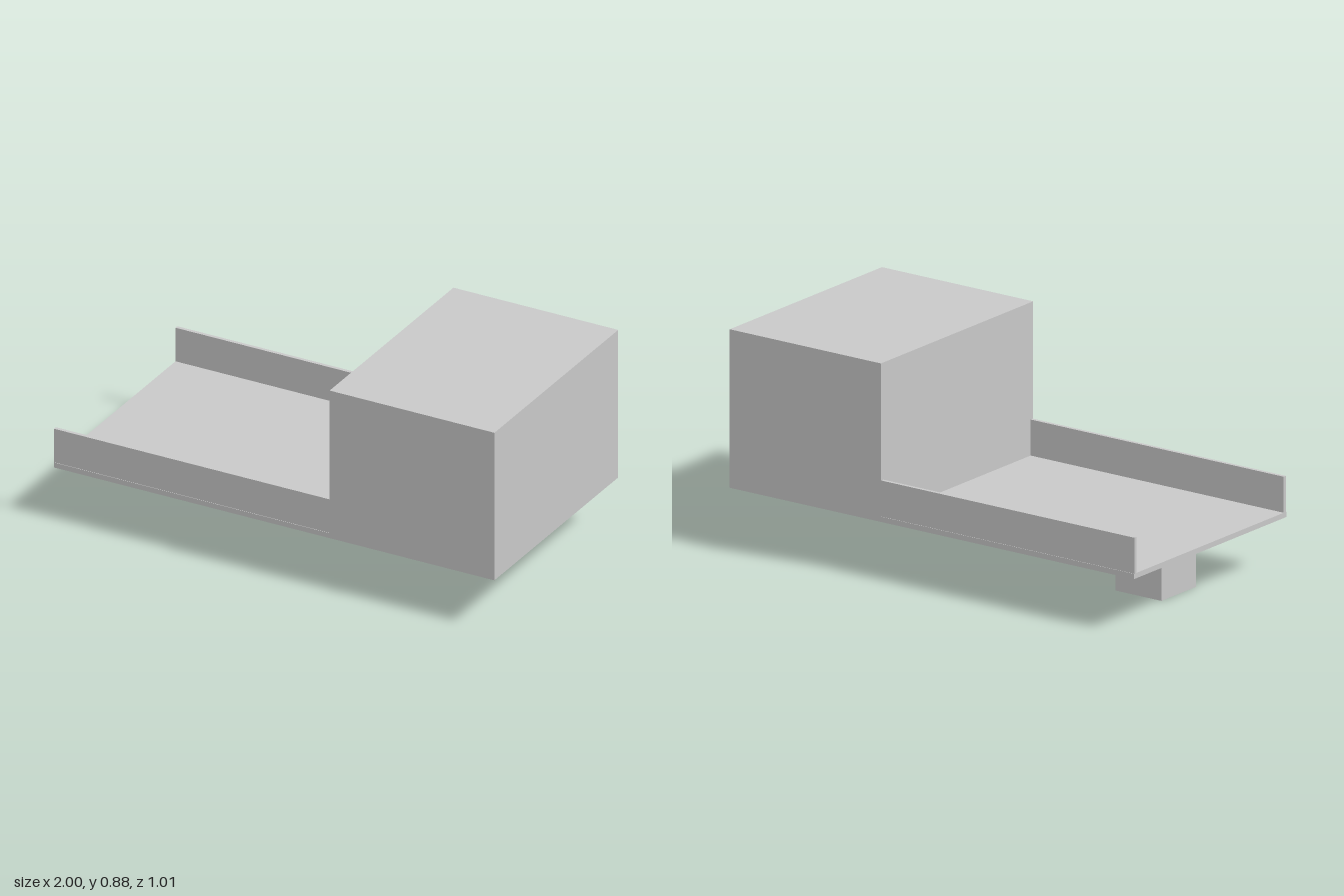
import * as THREE from 'three';

export function createModel() {
  const model = new THREE.Group();
  const grey = new THREE.MeshStandardMaterial({ color: 0xc8c8c8 });
  grey.name = 'light grey';

  // Box given by its low and high corners
  function addBox(name, [x0, y0, z0], [x1, y1, z1]) {
    const mesh = new THREE.Mesh(new THREE.BoxGeometry(x1 - x0, y1 - y0, z1 - z0), grey);
    mesh.name = name;
    mesh.position.set((x0 + x1) / 2, (y0 + y1) / 2, (z0 + z1) / 2);
    model.add(mesh);
  }

  const bottom = 0.22, halfWidth = 0.506, cabStart = 0.252;

  // Tall block at one end
  addBox('cab', [cabStart, bottom, -halfWidth], [1, 0.88, halfWidth]);

  // Thin open deck
  const deckTop = 0.242;
  addBox('deck', [-1, bottom, -halfWidth], [cabStart, deckTop, halfWidth]);

  // Low side walls along the deck
  const inner = 0.489, outer = 0.504;
  addBox('frontSideWall', [-1, deckTop, inner], [cabStart, 0.392, outer]);
  addBox('backSideWall', [-1, deckTop, -outer], [cabStart, 0.392, -inner]);

  // Single block under the deck
  addBox('supportBlock', [-0.845, 0, -0.115], [-0.617, bottom, 0.115]);

  return model;
}
